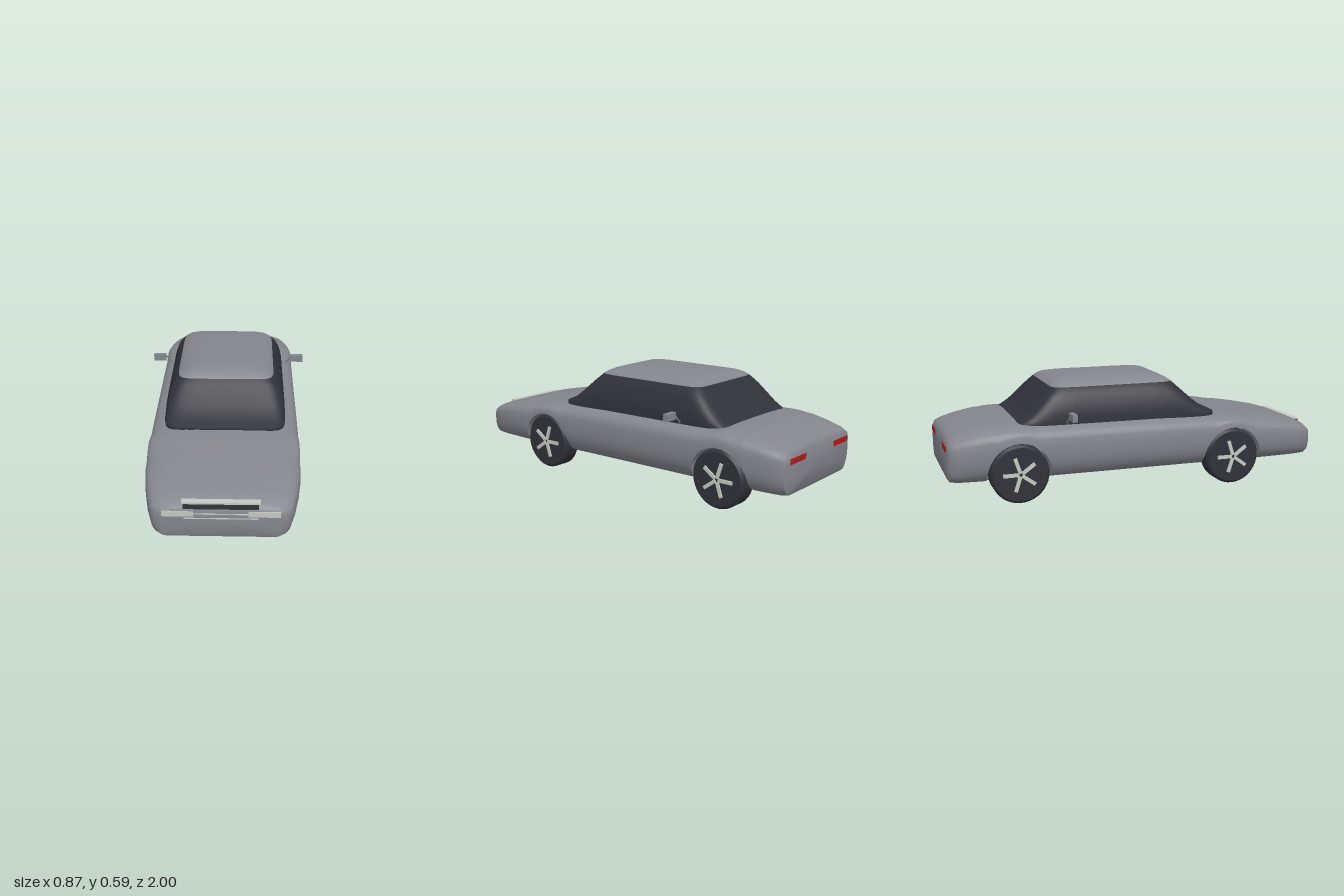
import * as THREE from 'three';
import { toCreasedNormals } from 'three/addons/utils/BufferGeometryUtils.js';

const mat = (name, color) => {
  const m = new THREE.MeshStandardMaterial({ color });
  m.name = name;
  return m;
};

// Skin a list of equal-length rings and close both ends with fans.
function loft(rings) {
  const n = rings[0].length, pos = rings.flat(2), idx = [];
  const center = (ring) => {
    pos.push(...[0, 1, 2].map((k) => ring.reduce((s, p) => s + p[k], 0) / n));
    return pos.length / 3 - 1;
  };
  const first = center(rings[0]), last = center(rings[rings.length - 1]);
  const end = (rings.length - 1) * n;
  for (let j = 0; j < n; j++) idx.push(first, (j + 1) % n, j);
  for (let i = 0; i < rings.length - 1; i++) {
    for (let j = 0; j < n; j++) {
      const k = (j + 1) % n;
      const a = i * n + j, b = i * n + k, c = a + n, d = b + n;
      idx.push(a, b, c, b, d, c);
    }
  }
  for (let j = 0; j < n; j++) idx.push(last, end + j, end + (j + 1) % n);
  const g = new THREE.BufferGeometry();
  g.setAttribute('position', new THREE.Float32BufferAttribute(pos, 3));
  g.setIndex(idx);
  return toCreasedNormals(g, 0.7);
}

const AXLES = [0.5, -0.65], HUB_Y = 0.148, ARCH_R = 0.158;

// Body stations, front to back: z, top height, half width, bottom height
const STATIONS = [
  [0.998, 0.25, 0.275, 0.13], [0.992, 0.268, 0.302, 0.114], [0.97, 0.284, 0.324, 0.107],
  [0.9, 0.305, 0.344, 0.105], [0.8, 0.325, 0.362, 0.105], [0.7, 0.342, 0.374, 0.105],
  [0.5, 0.367, 0.377, 0.105], [0.35, 0.379, 0.377, 0.105], [0.1, 0.386, 0.377, 0.105],
  [-0.7, 0.39, 0.377, 0.105], [-0.78, 0.386, 0.37, 0.105], [-0.87, 0.37, 0.354, 0.105],
  [-0.95, 0.35, 0.337, 0.106], [-0.985, 0.335, 0.32, 0.112], [-0.997, 0.315, 0.295, 0.128],
];

function bodyGeometry() {
  const zs = STATIONS.map((s) => s[0]);
  for (const c of AXLES) {
    zs.push(c + ARCH_R + 0.003, c - ARCH_R - 0.003);
    for (let k = 0; k <= 16; k++) zs.push(c + ARCH_R * Math.cos((Math.PI * k) / 16) * 0.9999);
  }
  zs.sort((a, b) => b - a);
  const rings = zs.map((z) => {
    let i = 0;
    while (i < STATIONS.length - 2 && STATIONS[i + 1][0] > z) i++;
    const A = STATIONS[i], B = STATIONS[i + 1], t = (A[0] - z) / (A[0] - B[0]);
    const [top, w, base] = [1, 2, 3].map((k) => A[k] + (B[k] - A[k]) * t);
    // The lower edge rises over each wheel.
    let arch = 0;
    for (const c of AXLES) {
      const d = Math.abs(z - c);
      if (d < ARCH_R) arch = HUB_Y + Math.sqrt(ARCH_R ** 2 - d * d);
    }
    const waist = Math.max(base + (top - base) * 0.6, arch), inner = Math.min(0.25, w - 0.06);
    const half = [];
    for (let k = 0; k <= 12; k++) {
      const u = (k / 12) * Math.PI / 2;
      half.push([w * Math.sin(u) ** 0.5, waist + (top - waist) * Math.abs(Math.cos(u)) ** 0.5, z]);
    }
    for (let k = 1; k <= 10; k++) {
      const u = (k / 10) * Math.PI / 2;
      const y = waist - (waist - base) * Math.sin(u) ** 0.8;
      half.push([inner + (w - inner) * Math.abs(Math.cos(u)) ** 0.8, Math.max(y, arch), z]);
    }
    half.push([inner, base, z]);
    const mirrored = half.slice(1).reverse().map(([x, y, zz]) => [-x, y, zz]);
    return [...half, ...mirrored];
  });
  return loft(rings);
}

// Cabin levels, top down: height, half width, front z, back z
const LEVELS = [
  [0.591, 0.08, 0.07, -0.33], [0.588, 0.14, 0.12, -0.375], [0.576, 0.2, 0.162, -0.417],
  [0.564, 0.23, 0.185, -0.438], [0.55, 0.25, 0.205, -0.452], [0.525, 0.271, 0.23, -0.478],
  [0.5, 0.286, 0.257, -0.503], [0.45, 0.303, 0.313, -0.553], [0.415, 0.309, 0.36, -0.593],
  [0.395, 0.31, 0.4, -0.625], [0.38, 0.311, 0.435, -0.652], [0.345, 0.311, 0.437, -0.652],
];

function cabinGeometry() {
  const n = 56, pow = (v) => Math.sign(v) * Math.abs(v) ** 0.2;
  const g = loft(LEVELS.map(([y, w, f, b]) => Array.from({ length: n }, (_, j) => {
    const t = ((j + 0.5) / n) * Math.PI * 2;
    return [w * pow(Math.cos(t)), y, (f + b) / 2 + ((f - b) / 2) * pow(Math.sin(t))];
  })));
  const roof = (n + 4 * n * 2) * 3;
  g.addGroup(0, roof, 0);
  g.addGroup(roof, g.attributes.position.count - roof, 1);
  return g;
}

export function createModel() {
  const paint = mat('greyPaint', 0x84868d);
  const dark = mat('darkGlassAndRubber', 0x31313a);
  const under = mat('underbodyBlack', 0x232326);
  const chrome = mat('paleChrome', 0xc8c8c2);
  const red = mat('tailRed', 0xb01c1c);

  const model = new THREE.Group();
  model.name = 'car';
  const add = (name, geo, material, parent = model) => {
    const m = new THREE.Mesh(geo, material);
    m.name = name;
    parent.add(m);
    return m;
  };
  // Box given by its min and max on each axis
  const box = (name, material, [x0, x1], [y0, y1], [z0, z1], parent) => {
    const m = add(name, new THREE.BoxGeometry(x1 - x0, y1 - y0, z1 - z0), material, parent);
    m.position.set((x0 + x1) / 2, (y0 + y1) / 2, (z0 + z1) / 2);
    return m;
  };

  add('body', bodyGeometry(), paint);
  add('cabin', cabinGeometry(), [paint, dark]);
  box('underbody', under, [-0.245, 0.245], [0.101, 0.112], [-0.93, 0.95]);

  // Nose trim
  box('grille', dark, [-0.172, 0.172], [0.26, 0.281], [0.95, 0.996]);
  box('grilleTrim', chrome, [-0.18, 0.18], [0.279, 0.29], [0.955, 0.988]);
  box('upperNoseStrip', chrome, [-0.13, 0.13], [0.234, 0.239], [0.98, 1]);
  box('lowerNoseStrip', chrome, [-0.17, 0.17], [0.211, 0.216], [0.98, 1]);

  // Paired lamps and mirrors
  for (const s of [1, -1]) {
    const span = (a, b) => (s > 0 ? [a, b] : [-b, -a]);
    const side = s > 0 ? 'left' : 'right';
    box(side + 'Headlight', chrome, span(0.125, 0.27), [0.223, 0.25], [0.96, 1]);
    box(side + 'TailLight', red, span(0.14, 0.28), [0.265, 0.293], [-1, -0.97]);
    box(side + 'Mirror', paint, span(0.363, 0.433), [0.406, 0.443], [-0.4, -0.374]);
    const stalk = new THREE.LineCurve3(
      new THREE.Vector3(s * 0.333, 0.385, -0.402), new THREE.Vector3(s * 0.367, 0.436, -0.39));
    add(side + 'MirrorStalk', new THREE.TubeGeometry(stalk, 1, 0.004, 6), paint);
  }

  // Wheels: chamfered tyre with a five-spoke star on the outer face
  const profile = [[0, -0.052], [0.136, -0.052], [0.148, -0.04], [0.148, 0.04], [0.136, 0.052], [0, 0.052]];
  const tyre = toCreasedNormals(
    new THREE.LatheGeometry(profile.map(([r, y]) => new THREE.Vector2(r, y)), 40), 0.5);
  tyre.rotateZ(-Math.PI / 2);
  const spoke = new THREE.BoxGeometry(0.012, 0.018, 0.08);
  spoke.translate(0, 0, -0.049);
  for (const z of AXLES) {
    for (const s of [1, -1]) {
      const wheel = new THREE.Group();
      wheel.name = (z > 0 ? 'front' : 'rear') + (s > 0 ? 'Left' : 'Right') + 'Wheel';
      wheel.position.set(s * 0.315, HUB_Y, z);
      add('tyre', tyre, dark, wheel);
      for (let k = 0; k < 5; k++) {
        const m = add('spoke', spoke, chrome, wheel);
        m.position.x = s * 0.054;
        m.rotation.x = (k * Math.PI * 2) / 5;
      }
      model.add(wheel);
    }
  }
  return model;
}
